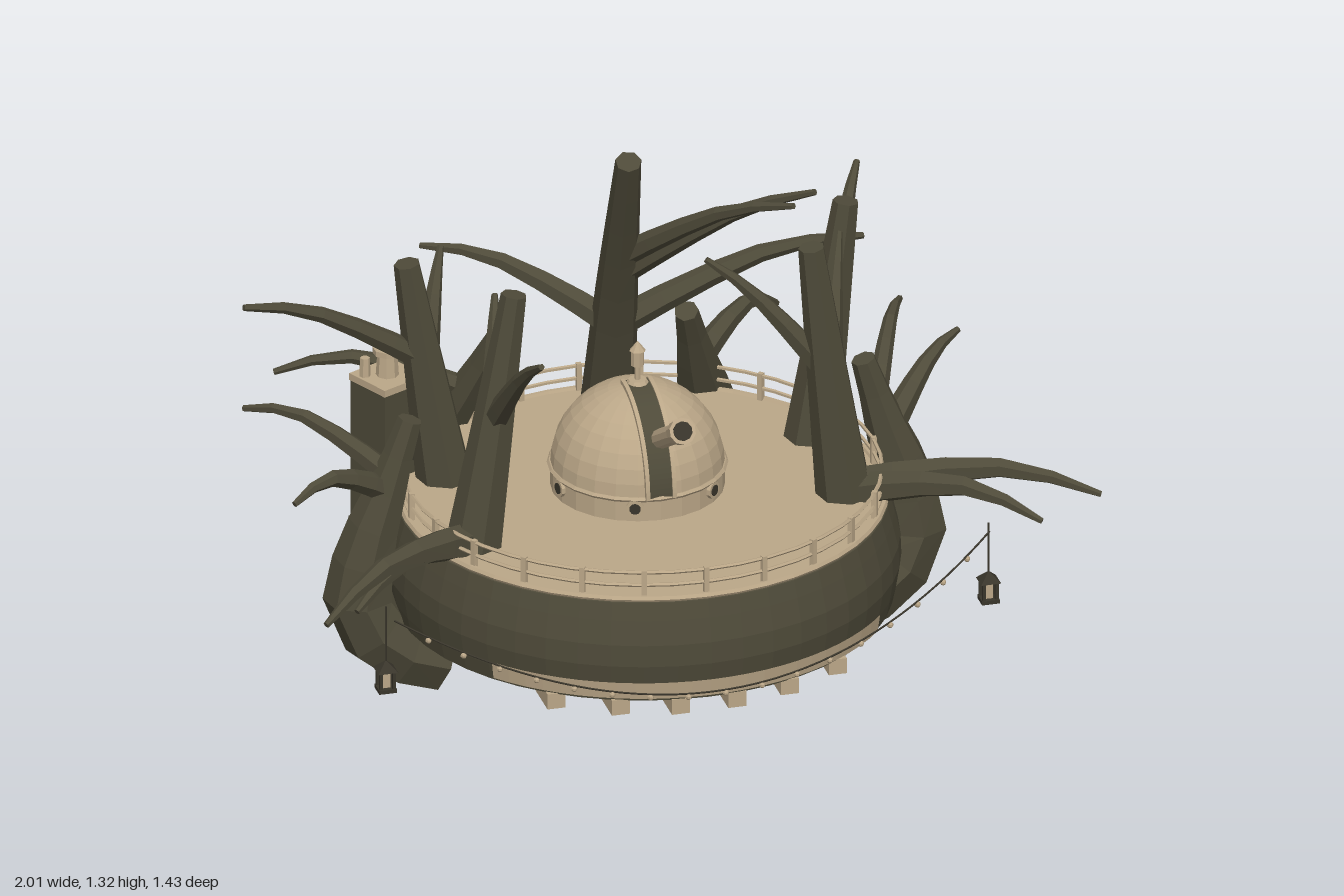
import * as THREE from 'three';

const mat = (name, color) => {
  const m = new THREE.MeshStandardMaterial({ color, flatShading: true, side: THREE.DoubleSide });
  m.name = name;
  return m;
};

export function createModel() {
  const bark = mat('bark', 0x4e4a39);
  const wood = mat('pale wood', 0xbba788);
  const iron = mat('dark iron', 0x39352b);
  const V = (x, y, z) => new THREE.Vector3(x, y, z);
  const root = new THREE.Group();
  root.name = 'treeObservatory';
  const CX = -0.05, CZ = 0.035;

  const add = (name, geo, m, pos = [0, 0, 0], parent = root) => {
    const mesh = new THREE.Mesh(geo, m);
    mesh.name = name;
    mesh.position.set(...pos);
    parent.add(mesh);
    return mesh;
  };
  const box = (x, y, z) => new THREE.BoxGeometry(x, y, z);
  const cyl = (a, b, h, n = 10) => new THREE.CylinderGeometry(a, b, h, n);
  const group = (name, x, y, z) => {
    const g = new THREE.Group();
    g.name = name;
    g.position.set(x, y, z);
    root.add(g);
    return g;
  };

  // Tapered, capped limb along a smooth path
  const limb = (name, curve, radiusAt, sides = 7, seg = 8) => {
    const geo = new THREE.TubeGeometry(curve, seg, 1, sides);
    const p = geo.attributes.position, v = V(0, 0, 0), n = sides + 1;
    for (let i = 0; i <= seg; i++) {
      const c = curve.getPointAt(i / seg), r = radiusAt(i / seg);
      for (let j = i * n; j < (i + 1) * n; j++) {
        v.fromBufferAttribute(p, j).sub(c).multiplyScalar(r).add(c);
        p.setXYZ(j, v.x, v.y, v.z);
      }
    }
    const idx = Array.from(geo.index.array), e = seg * n;
    for (let j = 1; j < sides - 1; j++) idx.push(0, j, j + 1, e, e + j + 1, e + j);
    geo.setIndex(idx);
    geo.computeVertexNormals();
    add(name, geo, bark);
  };

  // Limb with branches; each branch leaves at fraction t and arches to its tip
  const grow = (name, points, radiusAt, branches) => {
    const curve = new THREE.CatmullRomCurve3(points);
    limb(name, curve, radiusAt);
    for (const [t, ...tip] of branches) {
      const a = curve.getPointAt(t), b = V(...tip), r = radiusAt(t) * 0.64;
      const rise = (b.y - a.y) / a.distanceTo(b);
      const lift = 0.06 - 0.05 * Math.max(rise, 0);
      const along = (k, l) => a.clone().lerp(b, k).add(V(0, l, 0));
      const path = new THREE.CatmullRomCurve3([a, along(0.35, lift * 0.8), along(0.68, lift), b]);
      limb(name + 'Branch', path, (u) => 0.008 + (r - 0.008) * (1 - u ** 1.3), 6, 5);
    }
  };

  // Round platform with a bulging wall and a dark underside
  const wall = new THREE.SplineCurve([[0.603, 0.235], [0.622, 0.36], [0.592, 0.49]].map((q) => new THREE.Vector2(...q)));
  add('platformWall', new THREE.LatheGeometry([...wall.getPoints(5), new THREE.Vector2(0.57, 0.495)], 48), bark, [CX, 0, CZ]);
  add('platformUnderside', cyl(0.603, 0.603, 0.008, 48), iron, [CX, 0.239, CZ]);
  add('deck', cyl(0.575, 0.575, 0.014, 48), wood, [CX, 0.492, CZ]);
  add('deckRim', new THREE.TorusGeometry(0.583, 0.009, 6, 48).rotateX(Math.PI / 2), wood, [CX, 0.497, CZ]);
  add('frontBand', new THREE.CylinderGeometry(0.622, 0.615, 0.045, 24, 1, true, -0.89, 1.78), wood, [CX, 0.268, CZ]);

  // Underfloor beams
  for (let i = 0; i < 6; i++) {
    const dx = -0.35 + i * 0.14;
    add('floorBeam', box(0.045, 0.04, 2 * Math.sqrt(0.365 - dx * dx)), wood, [CX + dx, 0.217, CZ]);
  }
  add('crossBeam', box(0.98, 0.042, 0.06), wood, [-0.04, 0.18, 0]);

  // Railing
  for (const y of [0.53, 0.563])
    add('rail', new THREE.TorusGeometry(0.575, 0.005, 5, 44).rotateX(Math.PI / 2), wood, [CX, y, CZ]);
  for (let i = 0; i < 24; i++) {
    const a = (i / 24) * Math.PI * 2;
    add('railPost', box(0.013, 0.075, 0.013), wood, [CX + 0.575 * Math.sin(a), 0.532, CZ + 0.575 * Math.cos(a)]).rotation.y = a;
  }

  // Domed observatory
  const dome = group('observatory', CX, 0.5, -0.01);
  add('domeWall', cyl(0.21, 0.21, 0.06, 24), wood, [0, 0.03, 0], dome);
  add('domeShell', new THREE.SphereGeometry(0.21, 24, 9, 0, Math.PI * 2, 0, Math.PI / 2), wood, [0, 0.058, 0], dome);
  add('domeRing', new THREE.TorusGeometry(0.211, 0.007, 5, 24).rotateX(Math.PI / 2), wood, [0, 0.058, 0], dome);
  const arc = (name, m, r, x, w) => {
    const s = new THREE.Shape();
    s.absarc(0, 0, r, 0, 1.65, false);
    s.absarc(0, 0, 0.195, 1.65, 0, true);
    const g = new THREE.ExtrudeGeometry(s, { depth: w, bevelEnabled: false, curveSegments: 14 });
    add(name, g.translate(0, 0, -w / 2).rotateY(-Math.PI / 2), m, [x, 0.058, 0], dome);
  };
  arc('domeSlit', bark, 0.213, 0, 0.056);
  for (const s of [-1, 1]) arc('slitRib', wood, 0.217, s * 0.033, 0.01);
  for (let i = 0; i < 6; i++) {
    const a = 0.75 + (i * Math.PI) / 3;
    const w = add('porthole', cyl(0.022, 0.022, 0.012).rotateX(Math.PI / 2), wood, [0.211 * Math.sin(a), 0.036, 0.211 * Math.cos(a)], dome);
    w.rotation.y = a;
    add('portholeGlass', cyl(0.014, 0.014, 0.016).rotateX(Math.PI / 2), iron, [0, 0, 0], w);
  }
  add('backDoor', box(0.07, 0.1, 0.02), wood, [0, 0.05, -0.208], dome);
  add('finialBase', cyl(0.022, 0.03, 0.012), wood, [0, 0.272, 0], dome);
  add('finialStem', cyl(0.007, 0.007, 0.05, 6), wood, [0, 0.3, 0], dome);
  add('finialBody', cyl(0.016, 0.016, 0.04, 8), wood, [0, 0.335, 0], dome);
  add('finialTip', new THREE.ConeGeometry(0.02, 0.025, 8), wood, [0, 0.367, 0], dome);

  // Telescope through the slit
  const scope = group('telescope', -0.036, 0.735, 0.225);
  scope.rotation.x = Math.PI / 2 - 0.52;
  add('telescopeTube', cyl(0.025, 0.025, 0.24), wood, [0, 0, 0], scope);
  add('telescopeHood', cyl(0.033, 0.03, 0.05), wood, [0, 0.115, 0], scope);
  add('telescopeLens', cyl(0.024, 0.024, 0.004), iron, [0, 0.14, 0], scope);

  // Trunks standing on the deck
  const trunk = (name, base, tip, sag, branches) => {
    const mid = base.clone().lerp(tip, 0.45).add(V(0, sag, 0));
    grow(name, [base, mid, tip], (u) => 0.072 - 0.04 * u, branches);
  };
  trunk('frontRightTrunk', V(0.42, 0.46, 0.17), V(0.33, 1.17, 0.18), 0,
    [[0.52, 0.09, 1.13, 0.1], [0.5, 0.46, 1.09, -0.04], [0.08, 1, 0.51, 0.365], [0.06, 0.83, 0.5, 0.45]]);
  trunk('frontLeftTrunk', V(-0.52, 0.46, 0.2), V(-0.41, 1.14, 0.18), 0,
    [[0.52, -0.43, 1.1, 0.5], [0.5, -0.4, 1.04, -0.03], [0.08, -0.96, 0.47, 0.48], [0.06, -0.87, 0.47, 0.43]]);
  trunk('backRightTrunk', V(0.42, 0.46, -0.15), V(0.51, 1.11, -0.16), 0, [[0.54, 0.62, 1.06, -0.46]]);
  trunk('backLeftTrunk', V(-0.48, 0.46, -0.17), V(-0.58, 1.08, -0.17), 0,
    [[0.58, -1, 1.04, -0.12], [0.54, -0.46, 1.05, -0.3]]);
  trunk('tallTrunk', V(0.01, 0.42, -0.5), V(-0.045, 1.31, -0.11), 0.04,
    [[0.55, 0.37, 1.26, 0.07], [0.62, 0.3, 1.26, 0.13], [0.36, -0.42, 0.89, -0.63], [0.36, 0.62, 0.89, -0.4]]);

  // Roots: one hooked side profile (distance out, height) turned around the platform
  const hook = [[0.49, 0.115], [0.6, 0.155], [0.69, 0.255], [0.68, 0.4], [0.63, 0.56], [0.57, 0.75]];
  const rootLimb = (name, angle, scale, raise, lean, branches) => {
    const pts = hook.map(([d, y]) => {
      const out = d - lean * Math.max(0, y - 0.3);
      return V(CX + out * Math.sin(angle), y + raise * (1 - y), CZ + out * Math.cos(angle));
    });
    const radiusAt = (u) => 0.03 + (0.095 * scale - 0.03) * Math.cos((Math.PI / 2) * Math.abs(u - 0.15) / 0.85) ** 1.4;
    grow(name, pts, radiusAt, branches);
  };
  rootLimb('rightRoot', 1.68, 1, 0, 0, [[0.85, 0.71, 0.71, -0.4], [0.72, 0.8, 0.71, -0.2]]);
  rootLimb('leftRoot', -1.63, 1, 0, 0, [[0.8, -0.95, 0.68, -0.3], [0.75, -0.94, 0.62, 0.12]]);
  rootLimb('backRightRoot', 2.64, 0.98, 0.05, 0.25, [[0.72, 0.49, 0.58, -0.71]]);
  rootLimb('backLeftRoot', -2.56, 0.75, 0.05, 0.25, [[0.75, -0.8, 0.63, -0.57], [0.8, -0.28, 0.59, -0.35]]);

  // Square chimney beside the platform
  const tower = group('chimney', -0.605, 0, -0.255);
  tower.rotation.y = 0.45;
  add('chimneyShaft', box(0.125, 0.5, 0.125), bark, [0, 0.48, 0], tower);
  for (const y of [0.36, 0.54]) add('chimneyBand', box(0.132, 0.012, 0.132), iron, [0, y, 0], tower);
  add('chimneyCap', box(0.13, 0.018, 0.13), wood, [0, 0.738, 0], tower);
  add('chimneyPot', cyl(0.024, 0.028, 0.06, 8), wood, [0, 0.776, 0], tower);
  add('chimneyPotRim', cyl(0.036, 0.036, 0.014, 8), wood, [0, 0.812, 0], tower);
  for (const s of [-1, 1]) add('smallPot', cyl(0.012, 0.014, 0.05, 6), wood, [s * 0.045, 0.77, s * 0.03], tower);

  // Hanging lanterns; the cord runs up to height top
  const lantern = (x, y, z, top) => {
    const g = group('lantern', x, y, z);
    add('lanternFoot', cyl(0.008, 0.004, 0.006, 6), iron, [0, 0.003, 0], g);
    add('lanternBase', box(0.044, 0.01, 0.044), iron, [0, 0.007, 0], g);
    add('lanternLight', box(0.018, 0.044, 0.018), wood, [0, 0.034, 0], g);
    for (const a of [-1, 1]) for (const b of [-1, 1])
      add('lanternPost', box(0.008, 0.046, 0.008), iron, [a * 0.016, 0.034, b * 0.016], g);
    add('lanternRoof', new THREE.ConeGeometry(0.035, 0.026, 4).rotateY(Math.PI / 4), iron, [0, 0.069, 0], g);
    add('lanternCord', cyl(0.0025, 0.0025, top - y - 0.08, 5), iron, [0, (top - y + 0.08) / 2, 0], g);
  };
  lantern(-0.79, 0.235, 0.4, 0.46);
  lantern(0.72, 0.26, 0.365, 0.47);
  lantern(CX, 0, 0, 0.16);

  // Sagging string of little lamps
  const string = new THREE.QuadraticBezierCurve3(V(-0.78, 0.44, 0.44), V(-0.04, 0.11, 0.985), V(0.71, 0.47, 0.41));
  add('lampString', new THREE.TubeGeometry(string, 40, 0.0025, 5), iron);
  for (let i = 1; i < 18; i++) {
    const p = string.getPointAt(i / 18);
    add('lamp', new THREE.SphereGeometry(0.008, 6, 5), wood, [p.x, p.y - 0.008, p.z]);
  }
  return root;
}
